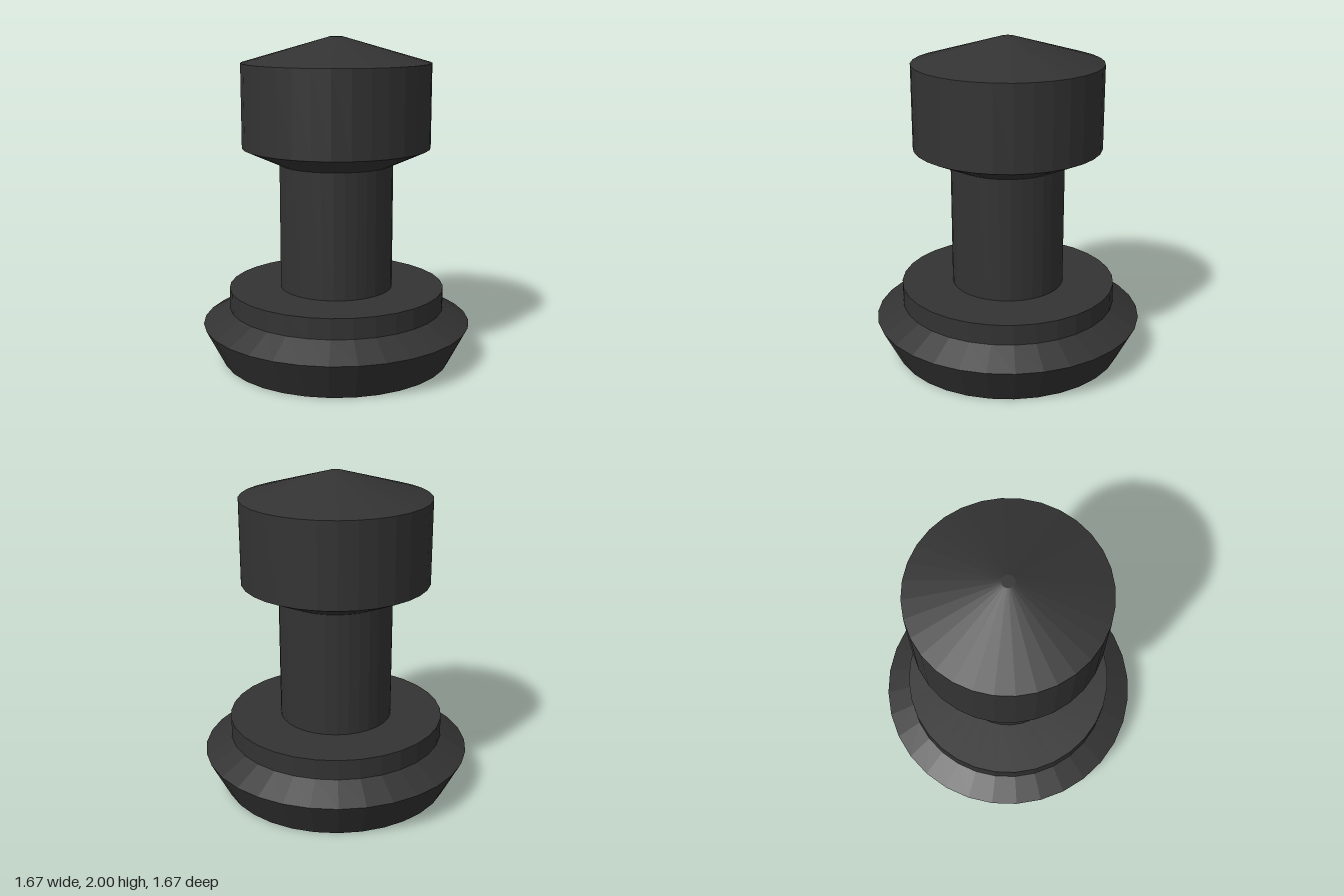
import * as THREE from 'three';

const SIDES = 32;

export function createModel() {
  const group = new THREE.Group();
  group.name = 'mushroomPost';
  const material = new THREE.MeshStandardMaterial({ color: 0x333333, flatShading: true });

  // Each part is a faceted turned solid; profile runs [radius, height] upwards.
  const turned = (name, profile) => {
    const points = profile.map(([r, y]) => new THREE.Vector2(r, y));
    const mesh = new THREE.Mesh(new THREE.LatheGeometry(points, SIDES), material);
    mesh.name = name;
    mesh.rotation.y = 0.055; // facets sit slightly turned from the axes
    group.add(mesh);
  };

  // Flared foot with a stepped collar
  turned('base', [[0, 0], [0.716, 0], [0.835, 0.235], [0.67, 0.33], [0.67, 0.456], [0.35, 0.456]]);
  // Straight shaft
  turned('stem', [[0.35, 0.456], [0.35, 1.23]]);
  // Wide drum with a chamfered underside and shallow cone top
  turned('head', [[0.35, 1.23], [0.577, 1.333], [0.577, 1.845], [0.038, 2], [0, 2]]);

  return group;
}
